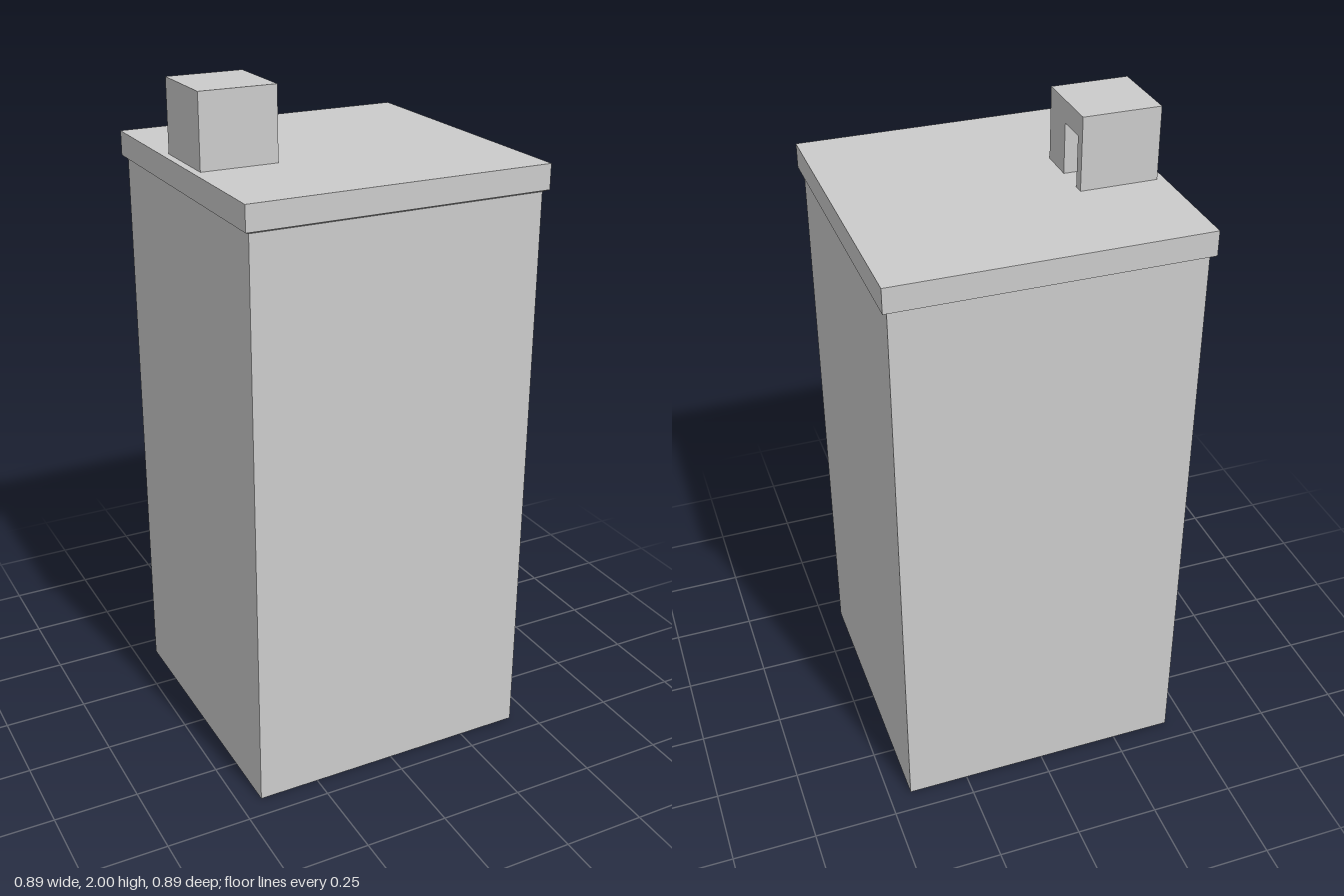
import * as THREE from 'three';

const material = new THREE.MeshStandardMaterial({ color: 0xcccccc, flatShading: true });

function part(name, geometry) {
  const mesh = new THREE.Mesh(geometry, material);
  mesh.name = name;
  return mesh;
}

// Square solid from [halfWidth, y] pairs, listed bottom to top
function squareLathe(profile) {
  const points = profile.map(([h, y]) => new THREE.Vector2(h * Math.SQRT2, y));
  return new THREE.LatheGeometry(points, 4).rotateY(Math.PI / 4);
}

// Side profile in x and y, extruded from z0 to z1
function slice(name, profile, z0, z1) {
  const shape = new THREE.Shape(profile.map(([x, y]) => new THREE.Vector2(x, y)));
  const geometry = new THREE.ExtrudeGeometry(shape, { depth: z1 - z0, bevelEnabled: false });
  return part(name, geometry.translate(0, 0, z0));
}

export function createModel() {
  const model = new THREE.Group();
  model.name = 'towerBlock';

  // Main block
  const body = part('body', new THREE.BoxGeometry(0.866, 1.712, 0.866));
  body.position.y = 0.856;
  model.add(body);

  // Overhanging roof slab with a slightly sloped underside
  model.add(part('roofSlab', squareLathe([
    [0, 1.711], [0.433, 1.711], [0.447, 1.718], [0.447, 1.718],
    [0.447, 1.79], [0.447, 1.79], [0, 1.79],
  ])));

  // Roof access hut with a doorway recess under a sloping ceiling
  const hut = new THREE.Group();
  hut.name = 'roofAccessHut';
  const back = -0.425, front = -0.2, base = 1.79, top = 2;
  const solid = [[back, base], [front, base], [front, top], [back, top]];
  const recessed = [
    [back, base], [-0.3, base], [-0.3, 1.87], [front, 1.937], [front, top], [back, top],
  ];
  hut.add(
    slice('hutLeftWall', solid, -0.115, -0.085),
    slice('hutDoorway', recessed, -0.085, 0.005),
    slice('hutRightWall', solid, 0.005, 0.112),
  );
  model.add(hut);

  return model;
}
